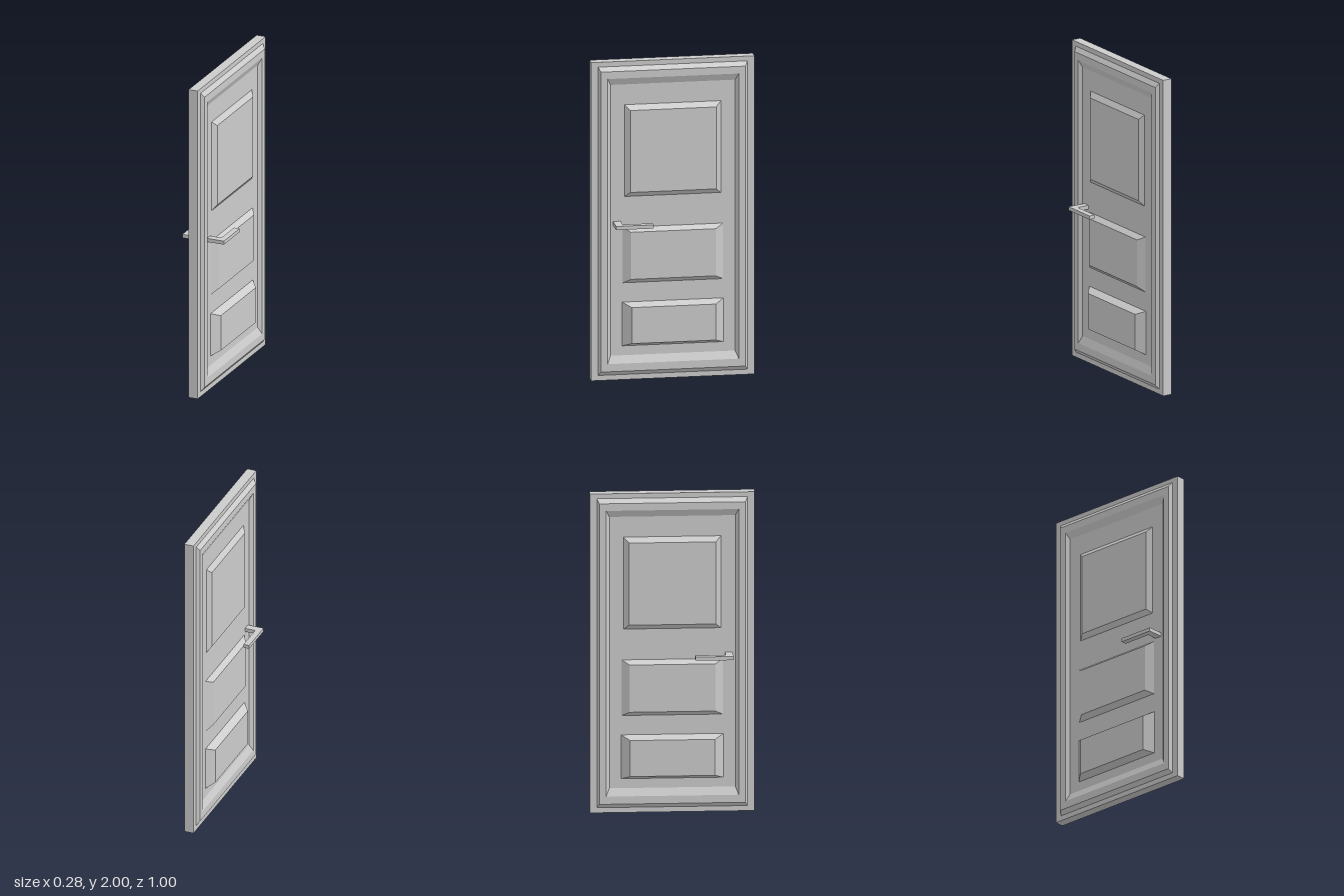
import * as THREE from 'three';

const material = new THREE.MeshStandardMaterial({ color: 0xcccccc, flatShading: true });
const centreX = -0.006; // middle plane of the door leaf
const face = 0.03; // half thickness of the leaf

// Strips between nested rectangles [halfWidth, bottom, top, depth], facing +x.
function steppedRelief(rects, capped) {
  const positions = [];
  const quad = (a, b, c, d) => positions.push(...a, ...b, ...c, ...a, ...c, ...d);
  const rings = rects.map(([w, y0, y1, x]) => [[x, y0, w], [x, y0, -w], [x, y1, -w], [x, y1, w]]);
  for (let r = 0; r < rings.length - 1; r++) {
    for (let i = 0; i < 4; i++) {
      const j = (i + 1) % 4;
      quad(rings[r][i], rings[r][j], rings[r + 1][j], rings[r + 1][i]);
    }
  }
  if (capped) quad(...rings[rings.length - 1]);
  const geometry = new THREE.BufferGeometry();
  geometry.setAttribute('position', new THREE.Float32BufferAttribute(positions, 3));
  geometry.computeVertexNormals();
  return geometry;
}

function addMesh(parent, name, geometry) {
  const mesh = new THREE.Mesh(geometry, material);
  mesh.name = name;
  parent.add(mesh);
  return mesh;
}

// Border moulding and three raised panels for one side of the door.
function createDoorFace(name) {
  const side = new THREE.Group();
  side.name = name;
  addMesh(side, 'borderMoulding', steppedRelief([
    [0.457, 0.032, 1.97, face],
    [0.443, 0.058, 1.943, 0.05],
    [0.402, 0.106, 1.898, 0.05],
    [0.382, 0.153, 1.855, face],
  ], false));
  const panels = [
    ['upperPanel', 0.295, 1.15, 1.727, 0.263, 1.18, 1.695, 0.053],
    ['middlePanel', 0.307, 0.608, 0.957, 0.26, 0.636, 0.932, 0.061],
    ['lowerPanel', 0.31, 0.212, 0.487, 0.258, 0.236, 0.462, 0.074],
  ];
  for (const [panelName, w, y0, y1, innerW, innerY0, innerY1, depth] of panels) {
    addMesh(side, panelName, steppedRelief([
      [w, y0, y1, face],
      [innerW, innerY0, innerY1, depth],
    ], true));
  }
  return side;
}

export function createModel() {
  const door = new THREE.Group();
  door.name = 'door';

  // Plain leaf
  const leaf = addMesh(door, 'doorLeaf', new THREE.BoxGeometry(face * 2, 2, 1));
  leaf.position.set(centreX, 1, 0);

  // Relief on both faces
  const leftFace = createDoorFace('leftFace');
  const rightFace = createDoorFace('rightFace');
  rightFace.rotation.y = Math.PI;
  for (const side of [leftFace, rightFace]) {
    side.position.x = centreX;
    door.add(side);
  }

  // Lever handle: a spindle through the leaf with a grip on each side
  const outline = [
    [-0.139, 0.135], [-0.102, 0.135], [-0.102, 0.32], [0.101, 0.32],
    [0.101, 0.135], [0.138, 0.135], [0.138, 0.366], [-0.139, 0.366],
  ];
  const shape = new THREE.Shape(outline.map(([x, z]) => new THREE.Vector2(x, z)));
  const handle = new THREE.ExtrudeGeometry(shape, { depth: 0.023, bevelEnabled: false });
  handle.rotateX(Math.PI / 2);
  addMesh(door, 'leverHandle', handle).position.y = 0.996;

  return door;
}
